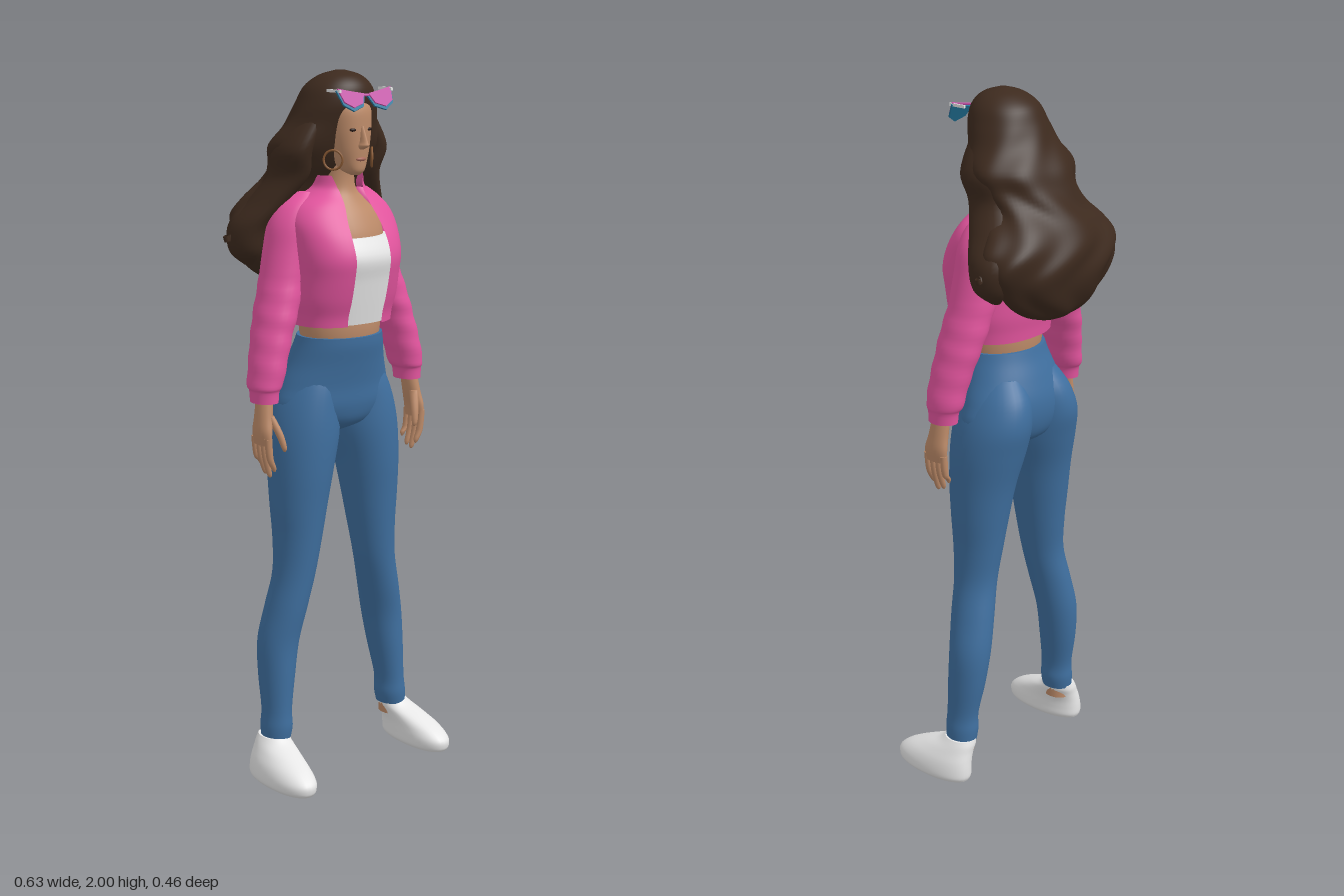
import * as THREE from 'three';

const mat = (name, color) => {
  const m = new THREE.MeshStandardMaterial({ color, side: THREE.DoubleSide });
  m.name = name;
  return m;
};

// body midline leans slightly towards -x above the knees
const midline = (y) => -0.012 * Math.min(1, y / 0.6);

const catmull = (a, b, c, d, t) =>
  0.5 * (2 * b + (c - a) * t + (2 * a - 5 * b + 4 * c - d) * t * t + (3 * b - a - 3 * c + d) * t * t * t);

// Smooth loft through level rings, listed bottom to top: [x, y, zFront, zBack, halfWidth, frontGap]
function loft(rings, { side = 1, seg = 32, steps = 5, power = 1, open = false, bump = null } = {}) {
  const n = rings.length, rows = [];
  for (let i = 0; i < n - 1; i++) {
    for (let k = 0; k < steps + (i === n - 2 ? 1 : 0); k++) {
      const at = (j) => rings[Math.min(n - 1, Math.max(0, j))];
      rows.push(rings[0].map((_, c) => catmull(at(i - 1)[c], at(i)[c], at(i + 1)[c], at(i + 2)[c], k / steps)));
    }
  }
  const pos = [], idx = [], cols = open ? seg + 1 : seg;
  const bend = (v) => Math.sign(v) * Math.abs(v) ** power;
  for (const [x, y, zf, zb, rx, gap = 0] of rows) {
    const g = open ? Math.asin(Math.min(0.9, gap / rx) ** (1 / power)) : 0;
    for (let j = 0; j < cols; j++) {
      const a = g + (2 * Math.PI - 2 * g) * j / seg;
      const f = bump ? bump(a, y) : 1;
      pos.push(side * x + midline(y) + bend(Math.sin(a)) * rx * f, y, (zf + zb) / 2 + bend(Math.cos(a)) * (zf - zb) / 2 * f);
    }
  }
  for (let i = 0; i < rows.length - 1; i++) {
    for (let j = 0; j < seg; j++) {
      const a = i * cols + j, b = i * cols + (j + 1) % cols;
      idx.push(a, b, b + cols, a, b + cols, a + cols);
    }
  }
  // end caps with their own vertices
  if (!open) {
    for (const [r, top] of [[0, false], [rows.length - 1, true]]) {
      const start = pos.length / 3, [x, y, zf, zb] = rows[r];
      pos.push(...pos.slice(r * cols * 3, (r + 1) * cols * 3), side * x + midline(y), y, (zf + zb) / 2);
      for (let j = 0; j < seg; j++) {
        const a = start + j, b = start + (j + 1) % seg;
        idx.push(start + seg, top ? a : b, top ? b : a);
      }
    }
  }
  const geo = new THREE.BufferGeometry();
  geo.setAttribute('position', new THREE.Float32BufferAttribute(pos, 3));
  geo.setIndex(idx);
  geo.computeVertexNormals();
  return geo;
}

export function createModel() {
  const root = new THREE.Group();
  const skin = mat('skin', 0xbd8b69), hair = mat('brown hair', 0x3d2a1e), pink = mat('pink jacket', 0xe4559f);
  const denim = mat('blue denim', 0x3f6f9f), white = mat('white cloth', 0xe6e6e6), lensPink = mat('pink lens', 0xc552a8);
  const teal = mat('teal rim', 0x23759a), dark = mat('dark eyes', 0x2a1c18), gold = mat('bronze earring', 0x8a5a34);
  const lip = mat('lips', 0xa8695a);
  const add = (name, geo, material, parent = root) => {
    const m = new THREE.Mesh(geo, material);
    m.name = name;
    parent.add(m);
    return m;
  };

  // trousers: hips
  add('hips', loft([
    [0, 1.0, 0.06, -0.03, 0.03], [0, 1.03, 0.115, -0.075, 0.13], [0, 1.08, 0.135, -0.095, 0.187],
    [0, 1.14, 0.14, -0.097, 0.175], [0, 1.2, 0.15, -0.08, 0.152], [0, 1.25, 0.16, -0.06, 0.136], [0, 1.28, 0.162, -0.05, 0.128],
  ], { seg: 48 }), denim);

  // torso
  add('waist', loft([[0, 1.22, 0.14, -0.03, 0.11], [0, 1.29, 0.153, -0.04, 0.122], [0, 1.36, 0.15, -0.04, 0.125]]), skin);
  add('cropTop', loft([
    [0, 1.318, 0.167, -0.045, 0.138], [0, 1.38, 0.178, -0.05, 0.14], [0, 1.44, 0.188, -0.05, 0.143],
    [0, 1.5, 0.198, -0.045, 0.148], [0, 1.555, 0.172, -0.04, 0.13],
  ], { power: 0.85, seg: 48 }), white);
  add('neckAndChest', loft([
    [0, 1.5, 0.17, -0.03, 0.12], [0, 1.56, 0.16, -0.03, 0.125], [0, 1.61, 0.138, -0.025, 0.115], [0, 1.65, 0.112, -0.02, 0.08],
    [0, 1.68, 0.098, 0, 0.05], [0, 1.72, 0.095, 0.01, 0.042], [0, 1.77, 0.1, 0.01, 0.042],
  ]), skin);
  add('jacket', loft([
    [0, 1.315, 0.172, -0.052, 0.147, 0.06], [0, 1.345, 0.176, -0.055, 0.15, 0.06], [0, 1.39, 0.19, -0.062, 0.158, 0.06],
    [0, 1.45, 0.204, -0.065, 0.158, 0.06], [0, 1.5, 0.21, -0.065, 0.162, 0.06], [0, 1.55, 0.194, -0.068, 0.166, 0.06],
    [0, 1.6, 0.164, -0.068, 0.166, 0.055], [0, 1.64, 0.138, -0.06, 0.145, 0.045], [0, 1.67, 0.118, -0.045, 0.1, 0.042],
    [0, 1.69, 0.11, -0.035, 0.078, 0.045], [0, 1.72, 0.107, -0.03, 0.074, 0.055],
  ], { power: 0.85, open: true, seg: 56 }), pink);

  for (const s of [1, -1]) {
    const side = s > 0 ? 'left' : 'right';
    // legs and feet
    add(side + 'Leg', loft([
      [0.217, 0.115, 0.07, -0.025, 0.041], [0.214, 0.15, 0.074, -0.028, 0.044], [0.212, 0.2, 0.072, -0.027, 0.041],
      [0.204, 0.3, 0.074, -0.044, 0.05], [0.193, 0.4, 0.076, -0.051, 0.058], [0.171, 0.5, 0.09, -0.043, 0.058],
      [0.148, 0.6, 0.1, -0.032, 0.059], [0.136, 0.7, 0.11, -0.042, 0.067], [0.129, 0.8, 0.12, -0.056, 0.079],
      [0.12, 0.9, 0.13, -0.072, 0.09], [0.107, 1.0, 0.134, -0.096, 0.101], [0.098, 1.08, 0.13, -0.112, 0.096],
      [0.084, 1.15, 0.12, -0.1, 0.082], [0.07, 1.21, 0.1, -0.06, 0.06],
    ], { side: s }), denim);
    add(side + 'Ankle', loft([[0.22, 0.08, 0.065, -0.02, 0.036], [0.218, 0.14, 0.063, -0.018, 0.034]], { side: s, seg: 20 }), skin);
    add(side + 'Shoe', loft([
      [0.252, 0, 0.222, -0.03, 0.052], [0.252, 0.012, 0.23, -0.035, 0.06], [0.251, 0.035, 0.228, -0.035, 0.06],
      [0.247, 0.06, 0.195, -0.033, 0.056], [0.238, 0.085, 0.14, -0.031, 0.05], [0.229, 0.105, 0.09, -0.031, 0.045],
      [0.224, 0.12, 0.068, -0.028, 0.039],
    ], { side: s, power: 0.92 }), white);

    // sleeves with soft folds towards the cuff
    add(side + 'Sleeve', loft([
      [0.258, 1.115, 0.093, 0.004, 0.036], [0.257, 1.145, 0.095, 0.0, 0.038], [0.253, 1.165, 0.102, -0.01, 0.046],
      [0.238, 1.23, 0.102, -0.02, 0.05], [0.218, 1.3, 0.098, -0.035, 0.053], [0.198, 1.36, 0.095, -0.045, 0.057],
      [0.172, 1.44, 0.085, -0.052, 0.06], [0.155, 1.52, 0.08, -0.055, 0.06], [0.14, 1.59, 0.078, -0.052, 0.06],
      [0.118, 1.64, 0.07, -0.045, 0.052], [0.095, 1.675, 0.045, -0.025, 0.03],
    ], { side: s, bump: (a, y) => 1 + 0.022 * Math.sin(y * 95 + a) * (y < 1.45 && y > 1.15 ? 1 : 0) }), pink);

    // hands
    add(side + 'Palm', loft([
      [0.275, 1.0, 0.1, 0.025, 0.014], [0.275, 1.035, 0.1, 0.022, 0.018], [0.268, 1.075, 0.09, 0.025, 0.021], [0.26, 1.13, 0.08, 0.025, 0.022],
    ], { side: s, seg: 20 }), skin);
    for (let f = 0; f < 4; f++) {
      const z = 0.091 - f * 0.02, tip = [0.925, 0.905, 0.912, 0.935][f];
      add(side + 'Finger' + (f + 1), loft([
        [0.257, tip, z + 0.003, z - 0.003, 0.003], [0.26, tip + 0.012, z + 0.008, z - 0.008, 0.008],
        [0.272, 0.965, z + 0.01, z - 0.01, 0.01], [0.277, 1.02, z + 0.01, z - 0.01, 0.012],
      ], { side: s, seg: 10, steps: 3 }), skin);
    }
    add(side + 'Thumb', loft([
      [0.235, 0.982, 0.112, 0.106, 0.003], [0.237, 0.995, 0.118, 0.1, 0.008], [0.246, 1.035, 0.11, 0.085, 0.011], [0.26, 1.08, 0.09, 0.06, 0.012],
    ], { side: s, seg: 10, steps: 3 }), skin);

    // loose side locks and curled ends
    add(side + 'HairLock', loft([
      [0.2, 1.47, -0.08, -0.11, 0.012], [0.215, 1.51, -0.04, -0.14, 0.042], [0.21, 1.58, -0.02, -0.15, 0.048],
      [0.165, 1.65, 0.02, -0.12, 0.045], [0.125, 1.72, 0.06, -0.08, 0.045], [0.13, 1.79, 0.085, -0.06, 0.044], [0.09, 1.87, 0.09, -0.03, 0.035],
    ], { side: s, seg: 20 }), hair);
    const curl = new THREE.CatmullRomCurve3([[0.22, 1.59, -0.09], [0.255, 1.555, -0.095], [0.268, 1.54, -0.1], [0.274, 1.555, -0.1]]
      .map(([x, y, z]) => new THREE.Vector3(s * x - 0.012, y, z)));
    add(side + 'HairCurl', new THREE.TubeGeometry(curl, 12, 0.008, 8), hair);
  }

  // head
  add('head', loft([
    [0, 1.722, 0.135, 0.11, 0.012], [0, 1.735, 0.147, 0.075, 0.029], [0, 1.765, 0.15, 0.04, 0.045], [0, 1.8, 0.153, 0.01, 0.057],
    [0, 1.85, 0.154, 0, 0.065], [0, 1.9, 0.15, 0, 0.066], [0, 1.94, 0.125, 0.02, 0.05],
  ], { power: 0.9 }), skin);
  add('nose', loft([
    [0, 1.792, 0.156, 0.13, 0.008], [0, 1.802, 0.176, 0.13, 0.013], [0, 1.815, 0.173, 0.13, 0.009], [0, 1.855, 0.156, 0.13, 0.006],
  ], { seg: 16 }), skin);
  const face = new THREE.Group();
  face.name = 'face';
  face.position.x = -0.012;
  root.add(face);
  const oval = (name, material, p, r) => {
    const m = add(name, new THREE.SphereGeometry(1, 16, 10), material, face);
    m.position.set(...p);
    m.scale.set(...r);
  };
  oval('lips', lip, [0, 1.766, 0.147], [0.017, 0.006, 0.008]);
  for (const s of [1, -1]) {
    oval('eye', dark, [s * 0.026, 1.845, 0.146], [0.012, 0.005, 0.006]);
    const hoop = add('earring', new THREE.TorusGeometry(0.026, 0.003, 8, 28), gold, face);
    hoop.position.set(s * 0.068, 1.765, 0.112);
    hoop.rotation.y = s * 0.9;
  }

  // hair: one wavy mass falling down the back
  add('hair', loft([
    [0, 1.39, -0.11, -0.14, 0.03], [0, 1.41, -0.075, -0.175, 0.1], [0, 1.45, -0.05, -0.2, 0.165], [0, 1.5, -0.035, -0.218, 0.208],
    [0, 1.55, -0.02, -0.226, 0.238], [0, 1.6, 0, -0.22, 0.243], [0, 1.65, 0.02, -0.2, 0.205], [0, 1.7, 0.05, -0.17, 0.162],
    [0, 1.75, 0.085, -0.145, 0.158], [0, 1.8, 0.108, -0.125, 0.172], [0, 1.86, 0.128, -0.088, 0.136], [0, 1.91, 0.142, -0.065, 0.116],
    [0, 1.955, 0.138, -0.042, 0.095], [0, 1.985, 0.112, 0.0, 0.06], [0, 1.999, 0.07, 0.045, 0.015],
  ], {
    seg: 80,
    bump: (a, y) => 1 + 0.045 * Math.sin(7 * a + 2.5 * Math.sin(y * 22)) * (1 - Math.cos(a)) / 2 * Math.min(1, Math.max(0, (1.95 - y) * 4)),
  }), hair);

  // sunglasses resting on the hair
  const glasses = new THREE.Group();
  glasses.name = 'sunglasses';
  glasses.position.set(-0.012, 1.928, 0.166);
  root.add(glasses);
  const front = new THREE.Group();
  front.rotation.x = -0.5;
  glasses.add(front);
  for (const s of [1, -1]) {
    const plate = (grow, drop) => {
      const p = [[0.006, 0.012], [0.05, 0.02], [0.094, 0.03], [0.084, -0.012], [0.055, -0.03], [0.02, -0.018]];
      const shape = new THREE.Shape(p.map(([x, y]) => new THREE.Vector2(s * (0.05 + (x - 0.05) * grow), y * grow - drop)));
      return new THREE.ExtrudeGeometry(shape, { depth: 0.005, bevelEnabled: false });
    };
    add('lens', plate(0.95, 0), lensPink, front).position.z = 0.004;
    add('rim', plate(1.03, 0.006), teal, front);
    const temple = add('temple', new THREE.BoxGeometry(0.006, 0.008, 0.055), white, glasses);
    temple.position.set(s * 0.089, 0.022, -0.024);
  }
  add('bridge', new THREE.BoxGeometry(0.024, 0.006, 0.006), lensPink, front).position.set(0, 0.008, 0.004);

  return root;
}
